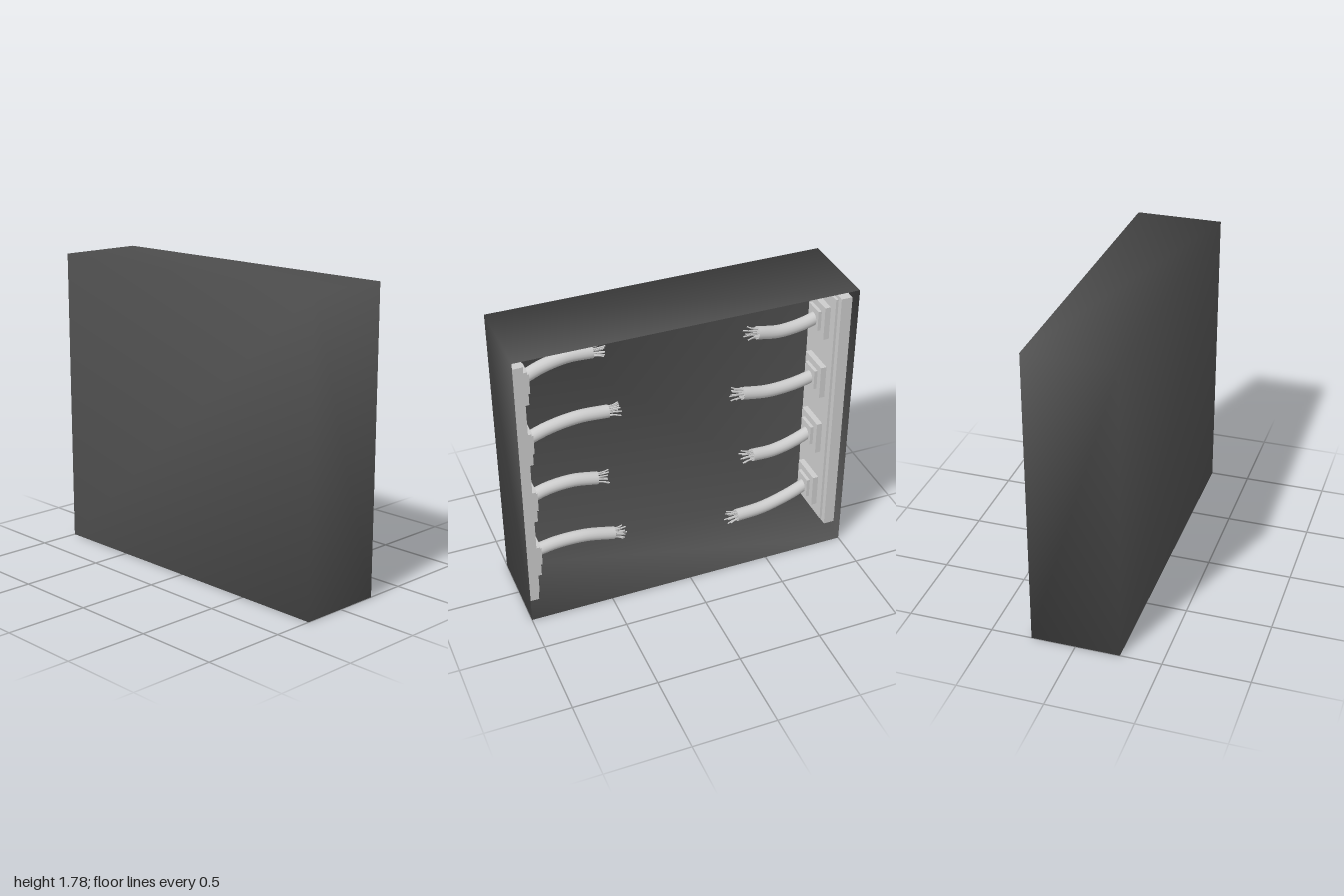
import * as THREE from 'three';

const grey = new THREE.MeshStandardMaterial({ color: 0xcccccc });
const dark = new THREE.MeshStandardMaterial({ color: 0x505050, side: THREE.DoubleSide });

const W = 1, H = 1.785, D = 0.26, MID = H / 2;

function add(parent, name, geometry, material = grey) {
  const mesh = new THREE.Mesh(geometry, material);
  mesh.name = name;
  parent.add(mesh);
  return mesh;
}

// Box resting against the wall side s, from distance a to b off the wall
function wallBox(parent, name, s, a, b, h, d, y) {
  const mesh = add(parent, name, new THREE.BoxGeometry(b - a, h, d));
  mesh.position.set(s * (W - (a + b) / 2), y, 0);
}

// Thin five-sided shell, open at the back, with corners shared for soft shading
function shellGeometry() {
  const points = [];
  for (const z of [-D, D])
    for (const y of [0, H])
      for (const x of [-W, W]) points.push(x, y, z);
  const quads = [[4, 5, 7, 6], [1, 3, 7, 5], [0, 4, 6, 2], [2, 6, 7, 3], [0, 1, 5, 4]];
  const g = new THREE.BufferGeometry();
  g.setAttribute('position', new THREE.Float32BufferAttribute(points, 3));
  g.setIndex(quads.flatMap(([a, b, c, d]) => [a, b, c, a, c, d]));
  g.computeVertexNormals();
  return g;
}

// Bent cable with a bundle of frayed wires at its tip
function makeCable(s, y, length, rise, sag, index) {
  const cable = new THREE.Group();
  cable.name = 'cable';
  const x0 = W - 0.1, sleeve = length - 0.05;
  const curve = new THREE.CatmullRomCurve3([
    new THREE.Vector3(s * x0, y, 0),
    new THREE.Vector3(s * (x0 - sleeve * 0.3), y + rise * 0.3 + sag * 0.8, -0.005),
    new THREE.Vector3(s * (x0 - sleeve * 0.65), y + rise * 0.65 + sag * 0.9, -0.015),
    new THREE.Vector3(s * (x0 - sleeve), y + rise, -0.025),
  ]);
  const radius = 0.038;
  add(cable, 'cableSleeve', new THREE.TubeGeometry(curve, 20, radius, 16, false));

  const end = curve.getPoint(1), dir = curve.getTangent(1);
  const turn = new THREE.Quaternion().setFromUnitVectors(new THREE.Vector3(0, 0, 1), dir);
  const tip = new THREE.Group();
  tip.name = 'frayedEnd';
  tip.position.copy(end);
  tip.quaternion.copy(turn);
  cable.add(tip);
  add(tip, 'sleeveCap', new THREE.CircleGeometry(radius, 16));
  for (let i = 0; i < 10; i++) {
    const inner = i < 3;
    const a = inner ? i * Math.PI * 2 / 3 : (i - 3) * Math.PI * 2 / 7 + index;
    const r = inner ? 0.01 : 0.027;
    const reach = 0.05 + 0.02 * Math.abs(Math.sin(i * 2.3 + index));
    const ray = (k, z) => new THREE.Vector3(Math.cos(a) * r * k, Math.sin(a) * r * k, z);
    const path = new THREE.CatmullRomCurve3([ray(1, -0.01), ray(1.1, reach * 0.5), ray(1.5, reach)]);
    add(tip, 'wire', new THREE.TubeGeometry(path, 4, 0.0045, 6, false));
  }
  return cable;
}

export function createModel() {
  const model = new THREE.Group();
  model.name = 'wiringCabinet';
  add(model, 'cabinetShell', shellGeometry(), dark);

  // End heights of the cables, bottom to top, for each wall
  const rises = { 1: [0.01, 0.045, 0.09, 0.1], '-1': [-0.1, -0.065, 0, -0.01] };
  const lengths = [0.55, 0.46, 0.54, 0.46];

  for (const s of [1, -1]) {
    const bank = new THREE.Group();
    bank.name = s > 0 ? 'leftSocketBank' : 'rightSocketBank';
    model.add(bank);
    wallBox(bank, 'mountingPlate', s, 0.003, 0.07, 1.62, 0.38, MID);
    wallBox(bank, 'raisedPanel', s, 0.07, 0.085, 1.58, 0.31, MID);
    lengths.forEach((length, i) => {
      const y = MID + (i - 1.5) * 0.405;
      wallBox(bank, 'socketBase', s, 0.08, 0.12, 0.21, 0.2, y);
      wallBox(bank, 'socketCollar', s, 0.12, 0.14, 0.125, 0.12, y);
      bank.add(makeCable(s, y, length, rises[s][i], s * 0.035, i + (s > 0 ? 0 : 4)));
    });
  }
  return model;
}
